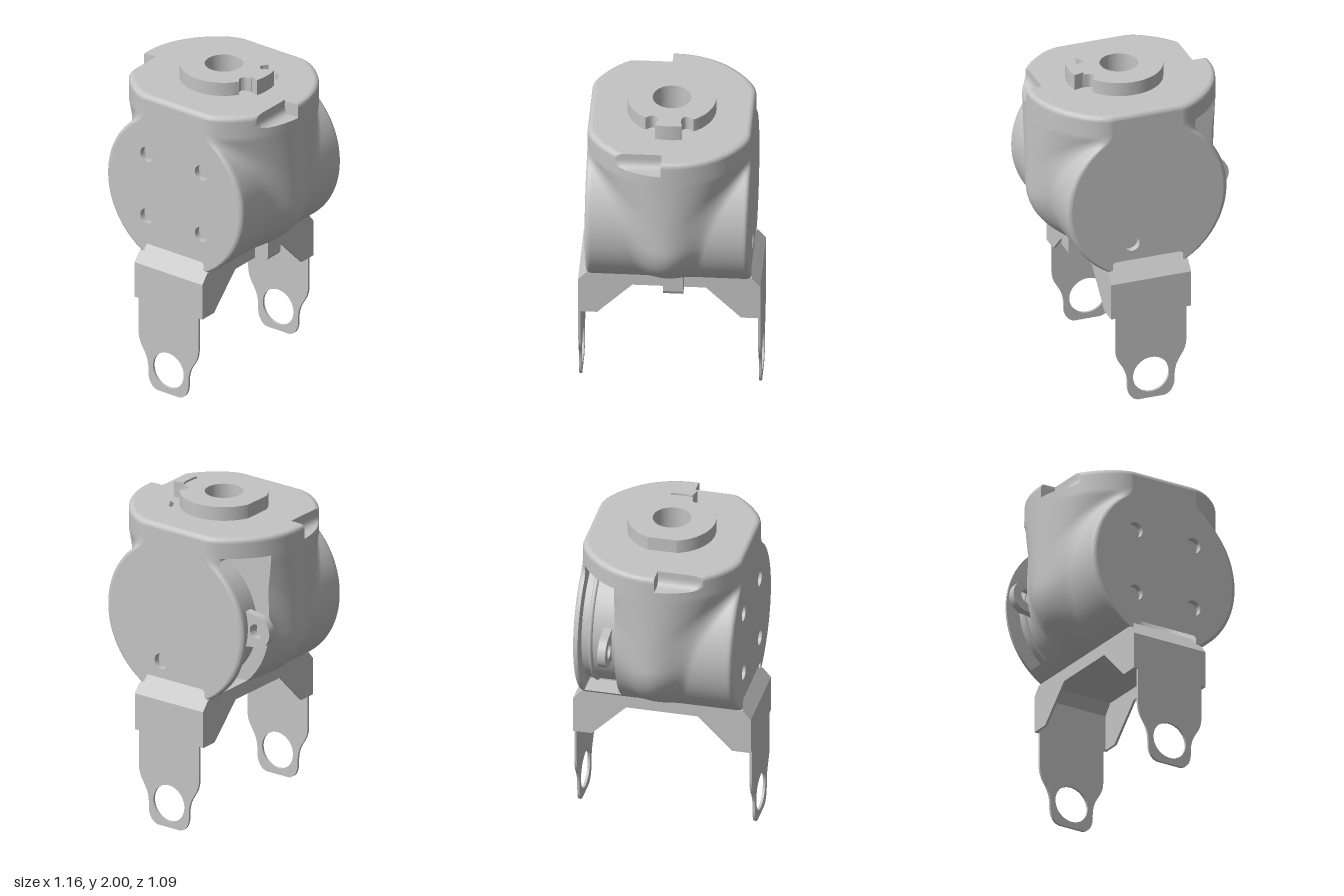
import * as THREE from 'three';
import { toCreasedNormals } from 'three/addons/utils/BufferGeometryUtils.js';

const Y0 = 0.86, Y1 = 1.9, ZM = 0.49, CY = 1.3;

// inset of a rounded edge at distance d from it
const bevel = (d, r) => d >= r ? 0 : r - Math.sqrt(Math.max(0, r * r - (r - d) * (r - d)));
const chord = (r, d) => Math.sqrt(Math.max(0, r * r - d * d));
const smoothMax = (a, b, k) => {
  const h = Math.max(k - Math.abs(a - b), 0) / k;
  return Math.max(a, b) + h * h * k * 0.25;
};

// half width of the housing: an upright drum, tapering in depth towards its rounded foot,
// blended into a lying drum
function halfWidth(y, z, side) {
  const lying = chord(0.51, y - CY);
  const foot = y > 1.25 ? 1 : chord(1, (1.25 - y) / 0.42);
  const depth = 0.545 - 0.4 * Math.max(0, 1.75 - y);
  let w = smoothMax(lying, 0.58 * foot * chord(1, z / depth), 0.08);
  w -= bevel(ZM - Math.abs(z), 0.03) + bevel(Y1 - y, 0.025);
  if (y > 1.81 && z > 0.03) w = Math.min(w, 0.48 + bevel(y - 1.81, 0.045)); // corner pockets
  if (side < 0 && y > 0.92 && y < 1.77 && z > -0.455 && z < -0.23) // side opening
    w = Math.min(w, Math.max(0.2, chord(0.42, y - CY)));
  return w;
}

// even steps plus extra stations that keep edges crisp
function stations(a, b, n, extra) {
  const s = [...extra];
  for (let i = 0; i <= n; i++) s.push(a + (b - a) * i / n);
  return s.sort((p, q) => p - q).filter((v, i, l) => i === 0 || v - l[i - 1] > 1e-4);
}

const circlePath = (x, y, r) => new THREE.Path().absarc(x, y, r, 0, Math.PI * 2, true);
const shapeOf = (pts) => new THREE.Shape(pts.map(([x, y]) => new THREE.Vector2(x, y)));
const extrude = (shape, depth) =>
  new THREE.ExtrudeGeometry(shape, { depth, bevelEnabled: false, curveSegments: 32 });

export function createModel() {
  const model = new THREE.Group();
  model.name = 'jointHousing';
  const grey = new THREE.MeshStandardMaterial({ color: 0xc4c4c4, side: THREE.DoubleSide });
  grey.name = 'grey';
  const add = (name, geo, x = 0, y = 0, z = 0, parent = model) => {
    const m = new THREE.Mesh(geo, grey);
    m.name = name;
    m.position.set(x, y, z);
    parent.add(m);
    return m;
  };

  // housing skin, one loop per height
  const ys = stations(Y0, Y1, 60, [0.919, 0.921, 1.769, 1.771,
    1.809, 1.811, 1.815, 1.822, 1.87, 1.885, 1.891, 1.896, 1.899]);
  const zs = stations(-ZM, ZM, 64, [-0.489, -0.486, -0.481, 0.481, 0.486, 0.489,
    -0.47, 0.47, -0.456, -0.454, -0.231, -0.229, 0.029, 0.031]);
  const loops = ys.map((y) => {
    const k = (ZM - bevel(Y1 - y, 0.03)) / ZM;
    const right = zs.map((z) => [halfWidth(y, z, 1), y, z * k]).reverse();
    const left = zs.map((z) => [-halfWidth(y, z, -1), y, z * k]);
    return [...right, ...left];
  });
  const n = zs.length, N = 2 * n;
  const index = [];
  for (let j = 0; j < loops.length - 1; j++) {
    for (let i = 0; i < N; i++) {
      if (ys[j + 1] < 1.8701 && (i === n - 1 || i === N - 1)) continue; // flat faces go here
      const a = j * N + i, b = j * N + (i + 1) % N;
      index.push(a, b, b + N, a, b + N, a + N);
    }
  }
  const skin = new THREE.BufferGeometry();
  skin.setAttribute('position', new THREE.Float32BufferAttribute(loops.flat(2), 3));
  skin.setIndex(index);
  add('housing', toCreasedNormals(skin, 0.6));

  // front and back faces with screw recesses and a notch for the bracket tab
  const levels = loops.filter((l) => l[0][1] < 1.8701);
  const notch = Math.min(0.225, levels[0][0][0] - 0.005);
  const faceWith = (name, holes, turn) => {
    const group = new THREE.Group();
    group.name = name;
    const shape = shapeOf([
      [notch, Y0],
      ...levels.map((l) => [l[0][0], l[0][1]]),
      ...[...levels].reverse().map((l) => [-l[0][0], l[0][1]]),
      [-notch, Y0], [-notch, 0.905], [-notch + 0.015, 0.918], [notch - 0.015, 0.918], [notch, 0.905],
    ]);
    for (const [x, y] of holes) {
      shape.holes.push(circlePath(x, y, 0.048));
      const wall = new THREE.CylinderGeometry(0.048, 0.048, 0.04, 28, 1, true).rotateX(Math.PI / 2);
      add('screwRecess', wall, x, y, ZM - 0.02, group);
      add('screwRecessFloor', new THREE.CircleGeometry(0.048, 28), x, y, ZM - 0.04, group);
    }
    add(name + 'Plate', new THREE.ShapeGeometry(shape, 28), 0, 0, ZM, group);
    group.rotation.y = turn;
    model.add(group);
  };
  const c = 0.205;
  faceWith('frontFace', [[-c, 1.1], [c, 1.1], [-c, 1.51], [c, 1.51]], 0);
  faceWith('backFace', [[-0.1, 1.025]], Math.PI);

  // top deck with bore and two crescent slots, and the underside
  const deck = shapeOf(loops[loops.length - 1].map((p) => [p[0], -p[2]]));
  deck.holes.push(circlePath(0, 0, 0.115));
  for (const s of [1, -1]) {
    const slot = [[0.23, 0.23], [0.255, 0.205], [0.29, 0.145], [0.25, 0.165], [0.23, 0.195]];
    deck.holes.push(new THREE.Path(slot.map(([x, y]) => new THREE.Vector2(x, y * s))));
  }
  add('topDeck', new THREE.ShapeGeometry(deck, 32).rotateX(-Math.PI / 2), 0, Y1, 0);
  add('boreFloor', new THREE.CircleGeometry(0.33, 40).rotateX(-Math.PI / 2), 0, 1.8, 0);
  const under = shapeOf(loops[0].map((p) => [p[0], p[2]]));
  add('underside', new THREE.ShapeGeometry(under).rotateX(Math.PI / 2), 0, Y0, 0);

  // collar with two rounded bites, and its stop key
  const collar = shapeOf(Array.from({ length: 240 }, (_, i) => {
    const deg = i * 1.5 - 180, a = deg * Math.PI / 180;
    const bite = Math.max(0, 1 - ((Math.abs(deg) - 24) / 8) ** 2);
    const r = 0.265 - 0.045 * Math.sqrt(bite);
    return [Math.max(-0.25, r * Math.cos(a)), r * Math.sin(a)];
  }));
  collar.holes.push(circlePath(0, 0, 0.115));
  add('collar', toCreasedNormals(extrude(collar, 0.09).rotateX(-Math.PI / 2), 0.5), 0, 1.897, 0);
  add('bore', new THREE.CylinderGeometry(0.115, 0.115, 0.1, 40, 1, true), 0, 1.85, 0);
  const key = new THREE.Shape();
  key.absarc(0, 0, 0.322, -0.255, 0.255, false);
  key.absarc(0, 0, 0.258, 0.255, -0.255, true);
  add('stopKey', toCreasedNormals(extrude(key, 0.1).rotateX(-Math.PI / 2), 0.5), 0, 1.9, 0);

  // lug and rim inside the side opening
  const lug = new THREE.Shape();
  lug.absarc(-0.48, 1.3, 0.1, -Math.PI / 2, Math.PI / 2, true);
  lug.lineTo(-0.36, 1.42);
  lug.lineTo(-0.36, 1.18);
  lug.holes.push(circlePath(-0.48, 1.3, 0.045));
  add('lug', toCreasedNormals(extrude(lug, 0.05), 0.5), 0, 0, -0.32);
  const rim = new THREE.TorusGeometry(0.42, 0.014, 8, 40, 2).rotateZ(Math.PI - 1);
  add('innerRim', rim, 0, CY, -0.4);

  // stop block under the housing
  const stop = shapeOf([[0.25, 0.785], [0.325, 0.785], [0.345, 0.793], [0.355, 0.815],
    [0.355, 0.93], [0.25, 0.93]]);
  add('stopBlock', extrude(stop, 0.12), 0, 0, -0.09);

  // bracket: two legs with eyes and bent tabs, joined by side flanges
  const leg = new THREE.Shape();
  leg.moveTo(0.08, 0);
  leg.bezierCurveTo(0.125, 0.005, 0.15, 0.05, 0.15, 0.1);
  leg.bezierCurveTo(0.145, 0.25, 0.225, 0.24, 0.225, 0.36);
  for (const [x, y] of [[0.225, 0.57], [0.255, 0.57], [0.255, 0.8], [-0.255, 0.8],
    [-0.255, 0.57], [-0.225, 0.57], [-0.225, 0.36]]) leg.lineTo(x, y);
  leg.bezierCurveTo(-0.225, 0.24, -0.145, 0.25, -0.15, 0.1);
  leg.bezierCurveTo(-0.15, 0.05, -0.125, 0.005, -0.08, 0);
  leg.holes.push(circlePath(0, 0.155, 0.115));
  const legGeo = toCreasedNormals(extrude(leg, 0.015), 0.5);
  const tab = shapeOf([[-0.255, 0], [0.255, 0], [0.255, 0.075], [0.225, 0.09], [0.225, 0.14],
    [0.21, 0.154], [-0.21, 0.154], [-0.225, 0.14], [-0.225, 0.09], [-0.255, 0.075]]);
  const tabGeo = extrude(tab, 0.015).translate(0, 0, -0.015).rotateX(-0.7);
  for (const [name, turn] of [['frontLeg', 0], ['backLeg', Math.PI]]) {
    const g = new THREE.Group();
    g.name = name;
    add(name + 'Plate', legGeo, 0, 0, 0.53, g);
    add(name + 'Tab', tabGeo, 0, 0.8, 0.545, g);
    g.rotation.y = turn;
    model.add(g);
  }
  const flange = shapeOf([[0.54, 0.57], [0.43, 0.57], [0.22, 0.78], [-0.22, 0.78], [-0.43, 0.57],
    [-0.54, 0.57], [-0.54, 0.8], [-0.49, 0.86], [0.49, 0.86], [0.54, 0.8]]);
  const flangeGeo = extrude(flange, 0.015).translate(0, 0, -0.0075).rotateY(Math.PI / 2);
  add('leftFlange', flangeGeo, 0.247, 0, 0);
  add('rightFlange', flangeGeo, -0.247, 0, 0);

  return model;
}
